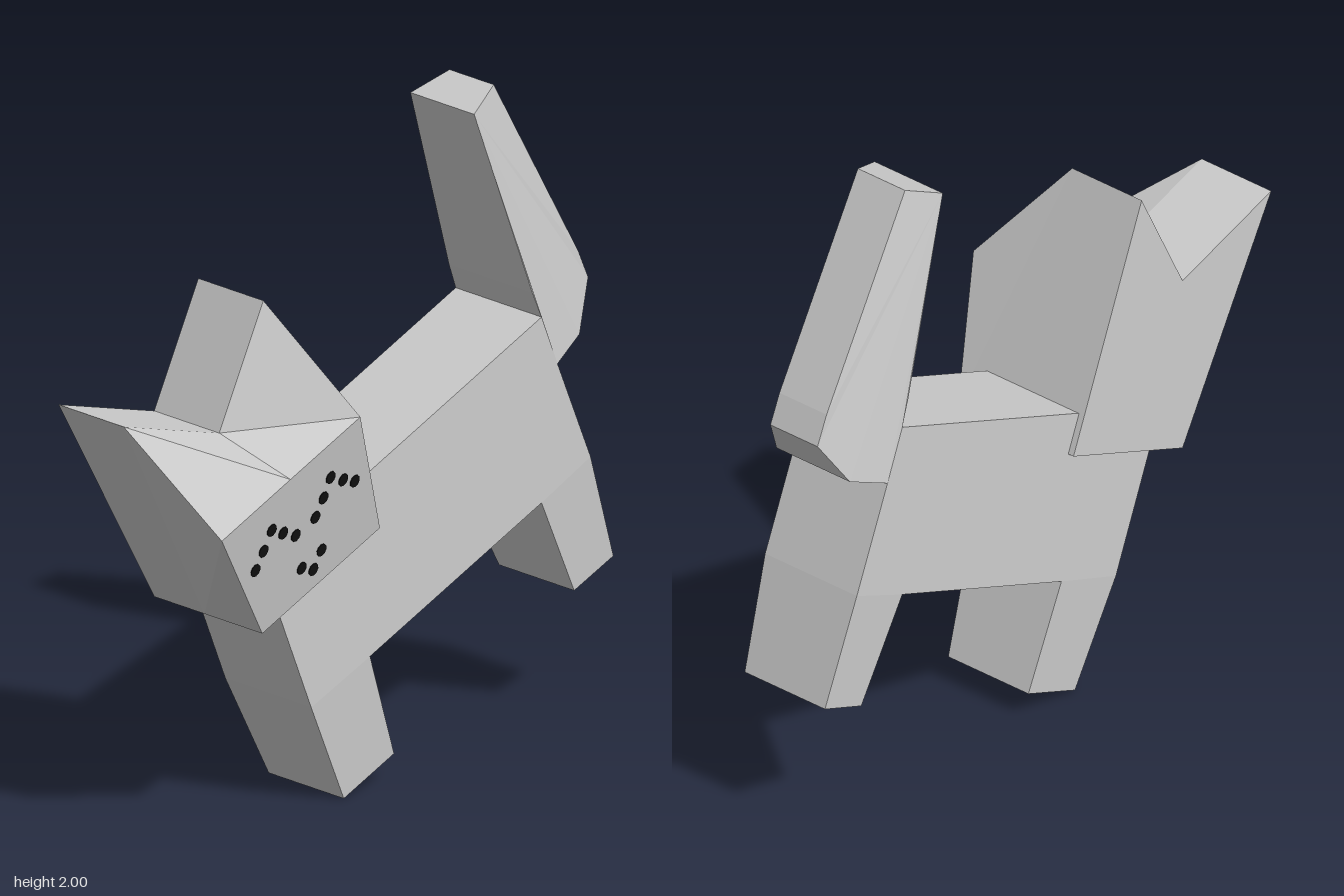
import * as THREE from 'three';

// Skin a row of rings running from -x to +x; each ring is a loop of [x, y, z],
// and both ends are closed with a fan around the corner `hub`.
function skin(rings, hub = 0) {
  const pos = [];
  const tri = (a, b, c) => pos.push(...a, ...b, ...c);
  const n = rings[0].length;
  for (let r = 0; r < rings.length - 1; r++) {
    for (let i = 0; i < n; i++) {
      const j = (i + 1) % n;
      const [a, b] = [rings[r], rings[r + 1]];
      tri(a[i], b[i], b[j]);
      tri(a[i], b[j], a[j]);
    }
  }
  const first = rings[0], last = rings[rings.length - 1];
  for (let k = 1; k < n - 1; k++) {
    const i = (hub + k) % n, j = (hub + k + 1) % n;
    tri(first[hub], first[i], first[j]);
    tri(last[hub], last[j], last[i]);
  }
  const g = new THREE.BufferGeometry();
  g.setAttribute('position', new THREE.Float32BufferAttribute(pos, 3));
  g.computeVertexNormals();
  return g;
}

// Side profile of [z, y, halfWidth] points, symmetric about the body's midplane
const MID = -0.07;
const slab = (profile) => skin([-1, 1].map((s) =>
  profile.map(([z, y, w]) => [MID + s * w, y, z])));

export function createModel() {
  const grey = new THREE.MeshStandardMaterial({ color: 0xcccccc });
  grey.name = 'light grey';
  const black = new THREE.MeshStandardMaterial({ color: 0x111111 });
  black.name = 'black';

  const model = new THREE.Group();
  model.name = 'cat';
  const add = (name, geometry, material = grey, parent = model) => {
    const mesh = new THREE.Mesh(geometry, material);
    mesh.name = name;
    parent.add(mesh);
    return mesh;
  };

  // Body, legs and tail
  const W = 0.175, FOOT = 0.153;
  add('torso', slab([
    [0.13, 0.96, W], [-0.64, 1.28, W], [-0.705, 1.12, W], [-0.84, 0.8, W], [-0.64, 0.71, W],
    [0.06, 0.42, W], [0.3, 0.325, W], [0.45, 0.69, W], [0.48, 0.76, W],
  ]));
  add('frontLeg', slab([
    [0.06, 0.42, W], [-0.06, 0.085, FOOT], [0.145, 0, FOOT], [0.3, 0.325, W],
  ]));
  add('backLeg', slab([
    [-0.84, 0.8, W], [-0.955, 0.46, FOOT], [-0.795, 0.395, FOOT], [-0.64, 0.71, W],
  ]));
  add('tail', slab([
    [-0.41, 1.95, 0.13], [-0.53, 2, 0.09], [-0.875, 1.4, 0.09], [-0.915, 1.31, 0.09],
    [-0.83, 1.17, 0.14], [-0.705, 1.12, W], [-0.64, 1.28, W], [-0.608, 1.36, 0.17],
  ]));

  // Head: ear tip, notch, ear tip, lower back, lower front
  const head = [[1.33, 0.96], [1.21, 0.57], [1.57, 0.39], [0.84, 0.09], [0.64, 0.57]];
  const face = [
    [0.26, 1.01, 0.82], [0.26, 1.127, 0.54], [0.26, 1.245, 0.255],
    [0.175, 0.84, 0.09], [0.175, 0.64, 0.57],
  ];
  add('head', skin([
    head.map((p) => [-0.265, ...p]),
    head.map((p, i) => [i === 4 ? -0.06 : 0, ...p]),
    face,
  ], 1));

  // Face dots: two arched eyes and a small nose, laid on the slanted side of the head
  const [p, q, r] = [face[0], face[3], face[2]].map((v) => new THREE.Vector3(...v));
  const plane = new THREE.Plane().setFromCoplanarPoints(p, q, r);
  if (plane.normal.x < 0) plane.negate();
  const n = plane.normal;
  const turn = new THREE.Quaternion().setFromUnitVectors(new THREE.Vector3(0, 1, 0), n);
  const dot = new THREE.CylinderGeometry(0.02, 0.02, 0.006, 10);
  const dots = {
    frontEye: [[0.645, 0.865], [0.62, 0.92], [0.595, 0.98], [0.54, 0.955], [0.48, 0.93]],
    backEye: [[0.4, 0.965], [0.375, 1.02], [0.355, 1.08], [0.295, 1.055], [0.24, 1.035]],
    nose: [[0.43, 0.81], [0.375, 0.79], [0.35, 0.845]],
  };
  for (const [name, spots] of Object.entries(dots)) {
    const group = new THREE.Group();
    group.name = name;
    model.add(group);
    for (const [z, y] of spots) {
      const mesh = add(name + 'Dot', dot, black, group);
      mesh.position.set(-(plane.constant + n.y * y + n.z * z) / n.x, y, z);
      mesh.quaternion.copy(turn);
    }
  }
  return model;
}
